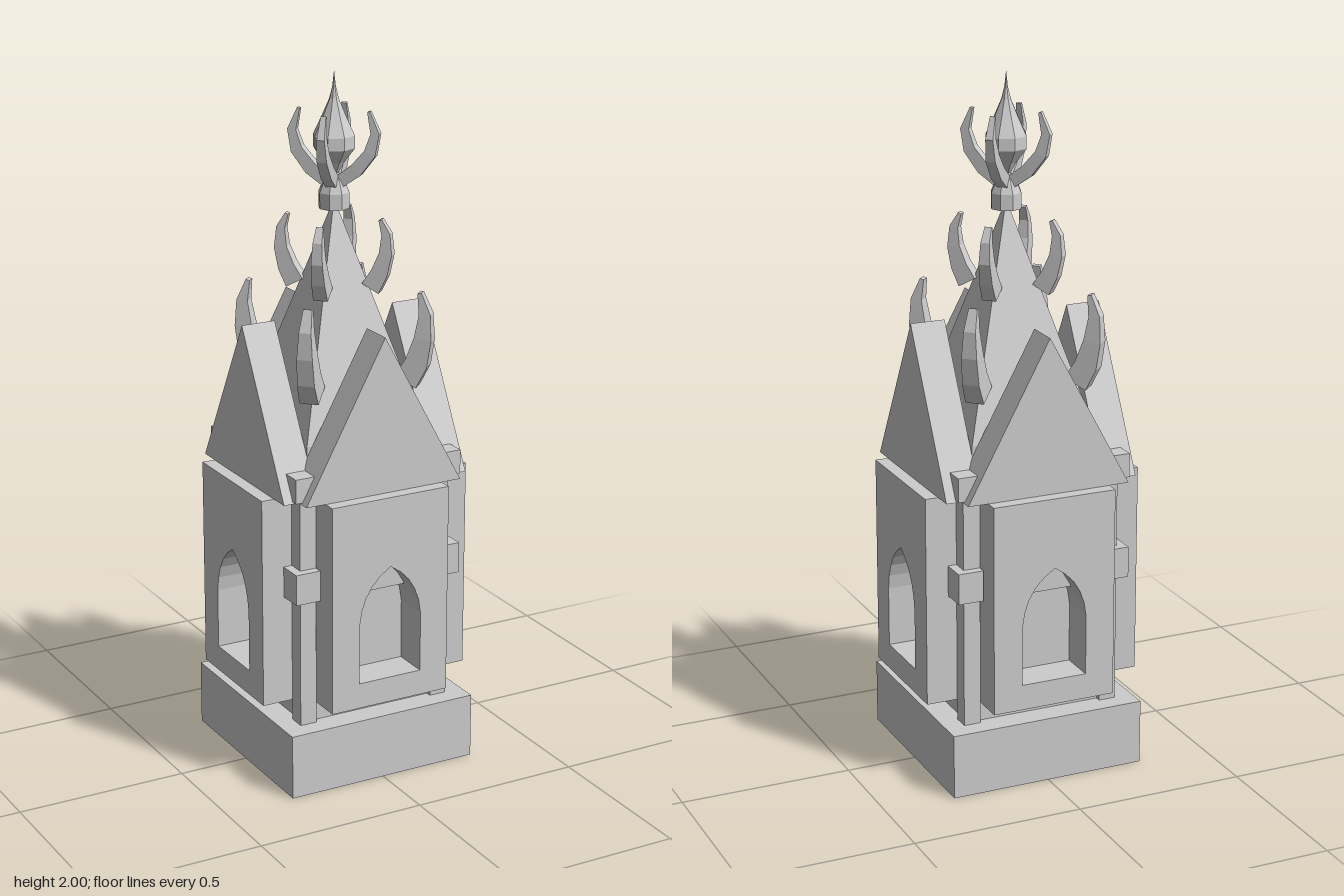
import * as THREE from 'three';

const stone = new THREE.MeshStandardMaterial({ color: 0xcccccc, flatShading: true });
stone.name = 'stone';

function add(parent, name, geometry, x = 0, y = 0, z = 0) {
  const mesh = new THREE.Mesh(geometry, stone);
  mesh.name = name;
  mesh.position.set(x, y, z);
  parent.add(mesh);
  return mesh;
}

// Box given by its footprint and its bottom and top heights
function block(parent, name, w, d, y0, y1, x = 0, z = 0) {
  return add(parent, name, new THREE.BoxGeometry(w, y1 - y0, d), x, (y0 + y1) / 2, z);
}

// Tapering claw with a rectangular section: rows of [radius, height, thickness, width]
function clawGeometry(rows) {
  const rings = rows.map(([r, y, t, w], i) => {
    const a = rows[Math.max(i - 1, 0)], b = rows[Math.min(i + 1, rows.length - 1)];
    const dir = new THREE.Vector2(b[0] - a[0], b[1] - a[1]).normalize();
    return [[1, 1], [1, -1], [-1, -1], [-1, 1]].map(([n, s]) =>
      [r + dir.y * n * t / 2, y - dir.x * n * t / 2, s * w / 2]);
  });
  const pos = [];
  const quad = (a, b, c, d) => [a, b, c, a, c, d].forEach((p) => pos.push(...p));
  for (let i = 0; i < rings.length - 1; i++) {
    const a = rings[i], b = rings[i + 1];
    for (let k = 0; k < 4; k++) quad(a[k], a[(k + 1) % 4], b[(k + 1) % 4], b[k]);
  }
  quad(...rings[rings.length - 1]);
  quad(...[...rings[0]].reverse());
  const g = new THREE.BufferGeometry();
  g.setAttribute('position', new THREE.Float32BufferAttribute(pos, 3));
  g.computeVertexNormals();
  return g;
}

// Wall panel with a pointed window opening
function panelGeometry() {
  const s = new THREE.Shape();
  s.moveTo(-0.185, 0.25);
  s.lineTo(0.185, 0.25);
  s.lineTo(0.185, 0.865);
  s.lineTo(-0.185, 0.865);
  s.closePath();
  const h = new THREE.Path();
  h.moveTo(-0.098, 0.325);
  h.lineTo(-0.098, 0.5);
  h.quadraticCurveTo(-0.09, 0.61, 0, 0.66);
  h.quadraticCurveTo(0.09, 0.61, 0.098, 0.5);
  h.lineTo(0.098, 0.325);
  h.closePath();
  s.holes.push(h);
  return new THREE.ExtrudeGeometry(s, { depth: 0.108, bevelEnabled: false, curveSegments: 5 });
}

// Thick triangular gable
function gableGeometry() {
  const s = new THREE.Shape();
  s.moveTo(-0.245, 0.865);
  s.lineTo(0.245, 0.865);
  s.lineTo(0, 1.315);
  s.closePath();
  return new THREE.ExtrudeGeometry(s, { depth: 0.102, bevelEnabled: false });
}

export function createModel() {
  const model = new THREE.Group();
  model.name = 'gothicPinnacle';

  // Base, core and spire
  block(model, 'base', 0.586, 0.586, 0, 0.19);
  block(model, 'core', 0.44, 0.44, 0.19, 0.87);
  block(model, 'spireFoot', 0.376, 0.376, 0.87, 1.0);
  const spire = new THREE.ConeGeometry(0.188 * Math.SQRT2, 0.64, 4, 1, true);
  spire.rotateY(Math.PI / 4);
  add(model, 'spire', spire, 0, 1.32, 0);

  const panel = panelGeometry();
  const gable = gableGeometry();
  const lowerClaw = clawGeometry([
    [0.215, 1.135, 0.07, 0.055], [0.245, 1.19, 0.065, 0.05], [0.262, 1.26, 0.05, 0.045],
    [0.266, 1.33, 0.033, 0.035], [0.25, 1.39, 0.012, 0.025],
  ]);
  const upperClaw = clawGeometry([
    [0.11, 1.395, 0.055, 0.042], [0.135, 1.44, 0.048, 0.038], [0.152, 1.495, 0.037, 0.033],
    [0.152, 1.55, 0.025, 0.026], [0.135, 1.59, 0.01, 0.02],
  ]);
  const crownClaw = clawGeometry([
    [0.01, 1.685, 0.035, 0.03], [0.065, 1.725, 0.038, 0.03], [0.105, 1.775, 0.034, 0.028],
    [0.119, 1.83, 0.025, 0.022], [0.1, 1.89, 0.008, 0.015],
  ]);

  for (let i = 0; i < 4; i++) {
    // One face: windowed wall, ledge behind the arch, and gable
    const side = new THREE.Group();
    side.name = 'side' + (i + 1);
    side.rotation.y = i * Math.PI / 2;
    add(side, 'windowPanel', panel, 0, 0, 0.22);
    block(side, 'windowLedge', 0.24, 0.05, 0.57, 0.67, 0, 0.237);
    add(side, 'gable', gable, 0, 0, 0.188);
    model.add(side);

    // One corner: pillar with band and cap
    const corner = new THREE.Group();
    corner.name = 'corner' + (i + 1);
    corner.rotation.y = i * Math.PI / 2;
    block(corner, 'pillarShaft', 0.05, 0.05, 0.19, 0.87, 0.212, 0.212);
    block(corner, 'pillarBand', 0.075, 0.075, 0.57, 0.66, 0.225, 0.225);
    block(corner, 'pillarCap', 0.062, 0.062, 0.87, 0.94, 0.231, 0.231);
    model.add(corner);

    // Curved claws along the spire edge and around the finial
    const edge = new THREE.Group();
    edge.name = 'spireEdge' + (i + 1);
    edge.rotation.y = Math.PI / 4 + i * Math.PI / 2;
    add(edge, 'lowerClaw', lowerClaw);
    add(edge, 'upperClaw', upperClaw);
    add(edge, 'crownClaw', crownClaw);
    model.add(edge);
  }

  // Eight-sided finial: collar, bud and spike
  const profile = [
    [0, 1.615], [0.045, 1.615], [0.045, 1.66], [0.032, 1.69], [0.013, 1.715], [0.03, 1.745],
    [0.06, 1.785], [0.06, 1.82], [0.036, 1.87], [0.014, 1.92], [0.005, 1.955], [0, 2.0],
  ].map(([r, y]) => new THREE.Vector2(r, y));
  add(model, 'finial', new THREE.LatheGeometry(profile, 8));
  return model;
}
